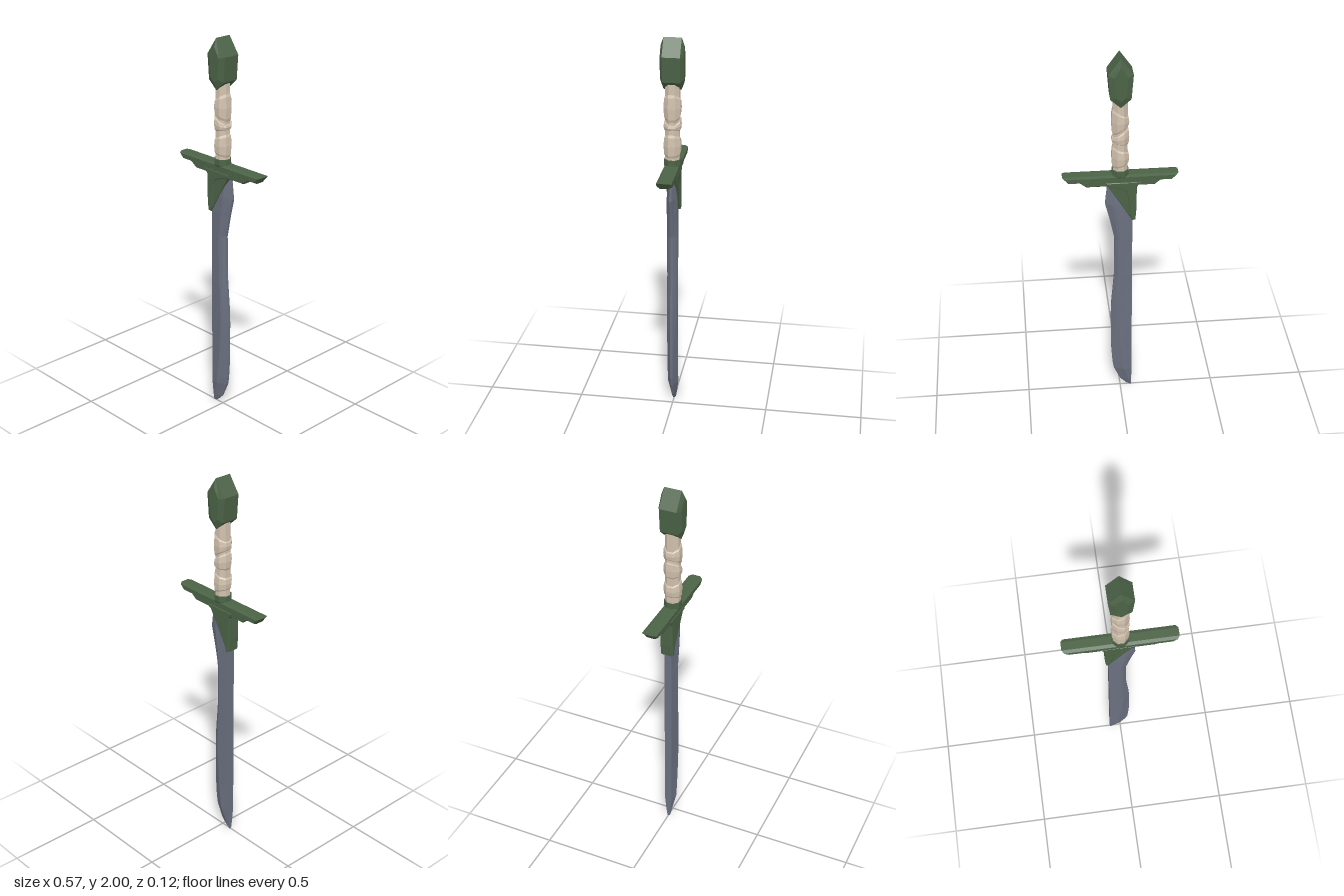
import * as THREE from 'three';

const mat = (name, color) => {
  const m = new THREE.MeshStandardMaterial({ color, flatShading: true });
  m.name = name;
  return m;
};

function mesh(name, geometry, material) {
  const m = new THREE.Mesh(geometry, material);
  m.name = name;
  return m;
}

// Chamfered plate: outline in x/y, half depth in z, bevel cut inside the outline
function plate(points, halfDepth, bevelSize, bevelThickness) {
  const shape = new THREE.Shape(points.map(([x, y]) => new THREE.Vector2(x, y)));
  const depth = 2 * (halfDepth - bevelThickness);
  const g = new THREE.ExtrudeGeometry(shape, {
    depth, bevelEnabled: true, bevelSegments: 1, bevelSize, bevelThickness, bevelOffset: -bevelSize,
  });
  g.translate(0, 0, -depth / 2);
  return g;
}

// Skin a stack of rings with equal point counts, closing both ends
function loft(rings) {
  const n = rings[0].length, pos = rings.flat(2), index = [];
  for (let r = 0; r < rings.length - 1; r++) {
    for (let i = 0; i < n; i++) {
      const a = r * n + i, b = r * n + (i + 1) % n;
      index.push(a, b, b + n, a, b + n, a + n);
    }
  }
  const last = (rings.length - 1) * n;
  for (let i = 1; i < n - 1; i++) {
    index.push(0, i + 1, i, last, last + i, last + i + 1);
  }
  const g = new THREE.BufferGeometry();
  g.setAttribute('position', new THREE.Float32BufferAttribute(pos, 3));
  g.setIndex(index);
  const flat = g.toNonIndexed();
  flat.computeVertexNormals();
  return flat;
}

// Octagonal wrap whose lower and upper rims slope across x
function wrap(bottomLeft, bottomRight, topLeft, topRight) {
  const rows = [[0, 0.037], [0.12, 0.043], [0.5, 0.046], [0.88, 0.043], [1, 0.037]];
  return loft(rows.map(([t, radius]) => {
    const ring = [];
    for (let i = 0; i < 8; i++) {
      const a = -(i + 0.5) * Math.PI / 4;
      const x = Math.cos(a), s = (x + 1) / 2;
      const low = THREE.MathUtils.lerp(bottomLeft, bottomRight, s);
      const high = THREE.MathUtils.lerp(topLeft, topRight, s);
      ring.push([x * radius, THREE.MathUtils.lerp(low, high, t), Math.sin(a) * radius]);
    }
    return ring;
  }));
}

export function createModel() {
  const green = mat('green metal', 0x4c6347);
  const cloth = mat('grip wrapping', 0xd2c2ae);
  const steel = mat('blade steel', 0x6b7080);
  const group = new THREE.Group();
  group.name = 'shortSword';

  // Blade stations: y, spine x, ridge x, groove x, edge x, half thickness
  const stations = [
    [0.004, -0.06, -0.058, -0.055, -0.05, 0.006],
    [0.015, -0.06, -0.055, -0.048, -0.033, 0.01],
    [0.05, -0.06, -0.046, -0.034, 0.0, 0.017],
    [0.13, -0.06, -0.018, -0.006, 0.034, 0.028],
    [0.17, -0.06, -0.012, 0.001, 0.041, 0.028],
    [0.28, -0.06, -0.001, 0.012, 0.048, 0.028],
    [0.5, -0.06, 0.012, 0.025, 0.049, 0.028],
    [0.58, -0.06, 0.009, 0.023, 0.046, 0.028],
    [0.75, -0.06, 0.0, 0.014, 0.032, 0.028],
    [0.98, -0.06, -0.002, 0.012, 0.029, 0.028],
    [1.1, -0.06, 0.012, 0.028, 0.053, 0.028],
    [1.19, -0.055, 0.026, 0.04, 0.075, 0.026],
    [1.32, -0.03, 0.036, 0.044, 0.062, 0.014],
  ];
  const blade = loft(stations.map(([y, spine, ridge, groove, edge, t]) => {
    const side = [[spine, 0.7 * t], [ridge, t], [groove, 0.8 * t], [edge, 0.22 * t]];
    return [
      ...side.map(([x, z]) => [x, y, z]),
      ...side.reverse().map(([x, z]) => [x, y, -z]),
    ];
  }));
  group.add(mesh('blade', blade, steel));

  // Crossguard: wide bar, stepped lower bar
  const bar = (half, low, top, high) =>
    [[-low, top], [low, top], [half, high], [-half, high]];
  group.add(mesh('crossguardBar', plate(bar(0.285, 0.255, 1.328, 1.364), 0.037, 0.009, 0.016), green));
  group.add(mesh('crossguardStep', plate(bar(0.205, 0.168, 1.304, 1.334), 0.029, 0.005, 0.006), green));

  // Blade brace: thin web with a raised curved strut over it
  group.add(mesh('braceWeb', plate([
    [-0.07, 1.11], [-0.052, 1.11], [0.0, 1.2], [0.066, 1.31], [-0.07, 1.31],
  ], 0.0285, 0.003, 0.003), green));
  group.add(mesh('braceStrut', plate([
    [-0.074, 1.105], [-0.057, 1.1], [-0.047, 1.13], [-0.034, 1.25], [-0.022, 1.277],
    [0.01, 1.291], [0.07, 1.306], [0.07, 1.325], [-0.1, 1.325], [-0.08, 1.295], [-0.079, 1.17],
  ], 0.033, 0.004, 0.005), green));

  // Collar where the grip meets the guard
  const collar = new THREE.CylinderGeometry(0.044, 0.044, 0.03, 8);
  collar.rotateY(Math.PI / 8);
  collar.translate(0, 1.377, 0);
  group.add(mesh('collar', collar, green));
  const collarBase = new THREE.CylinderGeometry(0.045, 0.03, 0.024, 8);
  collarBase.rotateY(Math.PI / 8);
  collarBase.translate(0, 1.351, 0);
  group.add(mesh('collarBase', collarBase, green));

  // Grip core and overlapping wraps
  const core = new THREE.CylinderGeometry(0.038, 0.038, 0.42, 8);
  core.rotateY(Math.PI / 8);
  core.translate(0, 1.585, 0);
  group.add(mesh('gripCore', core, cloth));
  [
    [1.425, 1.4, 1.49, 1.525],
    [1.53, 1.545, 1.625, 1.57],
    [1.635, 1.58, 1.68, 1.73],
  ].forEach((w, i) => group.add(mesh('gripWrap' + (i + 1), wrap(...w), cloth)));

  // Faceted pommel
  group.add(mesh('pommel', plate([
    [0, 1.745], [0.05, 1.79], [0.06, 1.915], [0, 2], [-0.06, 1.915], [-0.05, 1.79],
  ], 0.058, 0.028, 0.014), green));

  return group;
}
